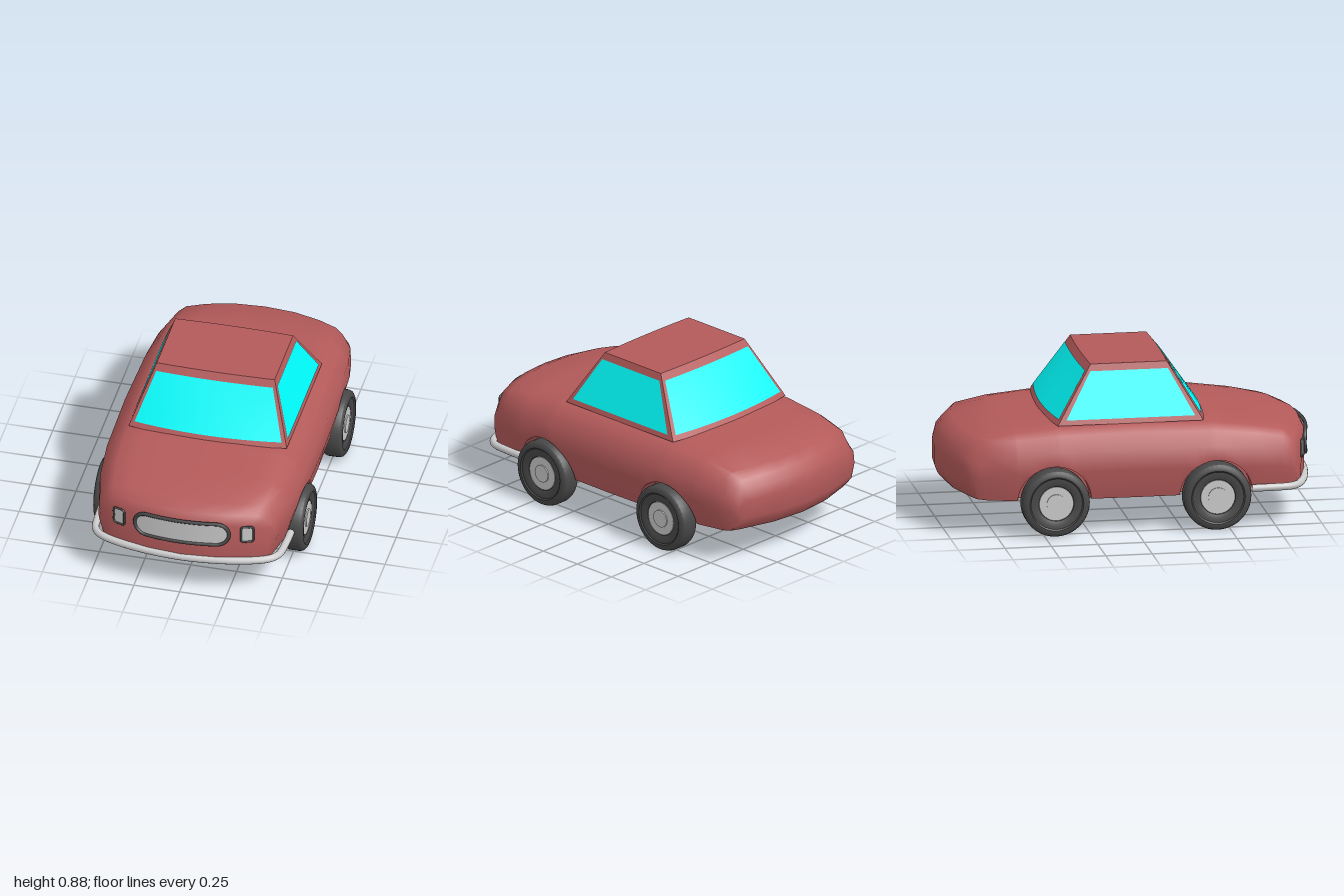
import * as THREE from 'three';
import { toCreasedNormals } from 'three/addons/utils/BufferGeometryUtils.js';

const mat = (color, side = THREE.FrontSide) => new THREE.MeshStandardMaterial({ color, side });
const paint = mat(0xb45a5a), paintSheet = mat(0xb45a5a, THREE.DoubleSide);
const glass = mat(0x00ffff, THREE.DoubleSide);
const rubber = mat(0x484848), metal = mat(0xcccccc), metalSheet = mat(0xcccccc, THREE.DoubleSide);
const lerp = THREE.MathUtils.lerp;
const WHEEL_Z = [0.43, -0.44], WHEEL_Y = 0.183, ARCH_R = 0.197;

function mesh(name, geometry, material) {
  const m = new THREE.Mesh(geometry, material);
  m.name = name;
  return m;
}

function indexed(positions, index) {
  const g = new THREE.BufferGeometry();
  g.setAttribute('position', new THREE.Float32BufferAttribute(positions, 3));
  g.setIndex(index);
  g.computeVertexNormals();
  return g;
}

// Sheet from a rule (u, v in 0..1) -> [x, y, z]
function sheet(rule, nu, nv = 1) {
  const pos = [], idx = [];
  for (let j = 0; j <= nv; j++) for (let i = 0; i <= nu; i++) pos.push(...rule(i / nu, j / nv));
  for (let j = 0; j < nv; j++) for (let i = 0; i < nu; i++) {
    const a = j * (nu + 1) + i, d = a + nu + 1;
    idx.push(a, a + 1, d + 1, a, d + 1, d);
  }
  return indexed(pos, idx);
}

// Body stations: z, floor, top, half width, half width of the top
const STATIONS = [
  [-1.0, 0.28, 0.39, 0.45, 0.36], [-0.985, 0.24, 0.45, 0.47, 0.38], [-0.95, 0.2, 0.49, 0.485, 0.39],
  [-0.9, 0.195, 0.53, 0.5, 0.41], [-0.65, 0.19, 0.56, 0.525, 0.43], [-0.43, 0.19, 0.58, 0.54, 0.435],
  [0, 0.19, 0.59, 0.55, 0.435], [0.42, 0.19, 0.58, 0.545, 0.435], [0.65, 0.19, 0.55, 0.525, 0.43],
  [0.88, 0.19, 0.52, 0.495, 0.41], [0.95, 0.19, 0.49, 0.485, 0.39], [0.975, 0.2, 0.44, 0.47, 0.37],
];

function stationAt(z) {
  let k = 0;
  while (k < STATIONS.length - 2 && STATIONS[k + 1][0] < z) k++;
  const a = STATIONS[k], b = STATIONS[k + 1], t = (z - a[0]) / (b[0] - a[0]);
  return a.map((v, i) => lerp(v, b[i], t));
}

// The nose and tail bow outwards in plan
const bow = (x, z) =>
  z - Math.sign(z) * 0.5 * x * x * THREE.MathUtils.smoothstep(Math.abs(z), 0.65, 0.95);

// Right half of a cross-section from floor centre to top centre, with the wheel arch notch
function halfSection(z) {
  const [, f, t, w, tw] = stationAt(z);
  let arch = f;
  for (const wz of WHEEL_Z) {
    const h = ARCH_R ** 2 - (z - wz) ** 2;
    if (h > 0) arch = Math.max(arch, WHEEL_Y + Math.sqrt(h));
  }
  const h = t - f, inner = w * 0.81;
  const sideY = Math.max(f + 0.4 * h, arch + 0.01);
  const sill = Math.min(w, lerp(w * 0.93, w, (arch - f) / (0.4 * h)));
  return [
    [0, f], [inner * 0.5, f], [inner, f], [inner, arch], [sill, arch], [w, sideY],
    [w * 0.99, f + 0.68 * h], [lerp(w, tw, 0.55), t - 0.13 * h], [tw, t - 0.015],
    [tw * 0.75, t - 0.005], [tw * 0.4, t], [0, t],
  ];
}

function bodyGeometry() {
  const zs = STATIONS.map((s) => s[0]);
  for (const wz of WHEEL_Z) for (let i = 0; i <= 16; i++) zs.push(wz - ARCH_R * Math.cos((i * Math.PI) / 16));
  zs.sort((a, b) => a - b);
  const pos = [], idx = [], N = 12, M = 2 * N - 2;
  for (const z of zs) {
    const half = halfSection(z);
    const ring = [...half, ...half.slice(1, -1).reverse().map(([x, y]) => [-x, y])];
    for (const [x, y] of ring) pos.push(x, y, bow(x, z));
  }
  const quad = (a, b, c, d) => idx.push(a, b, c, a, c, d);
  for (let k = 0; k < zs.length - 1; k++) for (let i = 0; i < M; i++) {
    const j = (i + 1) % M;
    quad(k * M + i, k * M + j, (k + 1) * M + j, (k + 1) * M + i);
  }
  // Nose and tail panels, zipped from floor to top
  const last = (zs.length - 1) * M;
  for (let i = 0; i < N / 2 - 1; i++) {
    const r = [i, i + 1, N - 2 - i, N - 1 - i], l = r.map((n) => (M - n) % M);
    quad(...r.map((n) => last + n));
    quad(...l.reverse().map((n) => last + n));
    quad(...[...r].reverse());
    quad(...l.reverse());
  }
  return toCreasedNormals(indexed(pos, idx), 0.75);
}

// Cabin: s runs across a wall (-1..1), t runs from waist to roof (0..1)
const cabinX = (t) => lerp(0.432, 0.322, t);
const cabinY = (t) => lerp(0.575, 0.88, t);
const cornerZ = (t, front) => (front ? lerp(0.375, 0.195, t) : lerp(-0.41, -0.215, t));
const endWall = (front, s, t, lift) => {
  const bulge = (1 - s * s) * lerp(0.04, 0.008, t) + lift;
  return [s * cabinX(t), cabinY(t) + lift * 0.6, cornerZ(t, front) + (front ? bulge : -bulge)];
};
const sideWall = (side, s, t, lift) => [
  side * (cabinX(t) + lift), cabinY(t) + lift * 0.4,
  lerp(cornerZ(t, false), cornerZ(t, true), (s + 1) / 2),
];

function cabin() {
  const g = new THREE.Group();
  g.name = 'cabin';
  const wall = (name, fn, which, margin) => {
    g.add(mesh(name + 'Frame', sheet((u, v) => fn(which, u * 2 - 1, v, 0), 12, 4), paintSheet));
    g.add(mesh(name + 'Window', sheet((u, v) =>
      fn(which, (u * 2 - 1) * margin, lerp(0.085, 0.88, v), 0.004), 12, 4), glass));
  };
  wall('front', endWall, true, 0.95);
  wall('rear', endWall, false, 0.95);
  wall('left', sideWall, 1, 0.92);
  wall('right', sideWall, -1, 0.92);
  g.add(mesh('roof', sheet((u, v) => {
    const s = u * 2 - 1, a = endWall(true, s, 1, 0), b = endWall(false, s, 1, 0);
    return [a[0], 0.88, lerp(a[2], b[2], v)];
  }, 12), paintSheet));
  return g;
}

// Rounded panel with a dark rim, following the bowed nose
function nosePanel(name, cx, cy, hw, hh, r, rim) {
  const g = new THREE.Group();
  g.name = name;
  const noseZ = (x) => bow(x, 0.975) + 0.008;
  const halfHeight = (x) => {
    const d = Math.max(0, Math.abs(x) - (hw - r));
    return hh - r + Math.sqrt(Math.max(0, r * r - d * d));
  };
  g.add(mesh(name + 'Face', sheet((u, v) => {
    const x = -hw * Math.cos(u * Math.PI);
    return [cx + x, cy + (v * 2 - 1) * halfHeight(x), noseZ(cx + x)];
  }, 32, 2), metalSheet));
  const pts = [];
  for (let i = 0; i < 48; i++) {
    const a = (i / 48) * Math.PI * 2, x = hw * Math.cos(a);
    pts.push(new THREE.Vector3(cx + x, cy + Math.sign(Math.round(Math.sin(a) * 1e6)) * halfHeight(x), noseZ(cx + x)));
  }
  const path = new THREE.CatmullRomCurve3(pts, true);
  g.add(mesh(name + 'Rim', new THREE.TubeGeometry(path, 96, rim, 8, true), rubber));
  return g;
}

function wheel(x, z) {
  const g = new THREE.Group();
  g.name = 'wheel';
  const outer = [[0.182, 0.03], [0.176, 0.046], [0.162, 0.056], [0.145, 0.057], [0.138, 0.051], [0.115, 0.051], [0.095, 0.043], [0.088, 0.025]];
  const profile = [...outer.map(([r, a]) => [r, -a]).reverse(), ...outer].map((p) => new THREE.Vector2(...p));
  g.add(mesh('tyre', toCreasedNormals(new THREE.LatheGeometry(profile, 40), 0.6), rubber));
  g.add(mesh('hub', new THREE.CylinderGeometry(0.092, 0.092, 0.084, 32), metal));
  g.add(mesh('hubCap', new THREE.CylinderGeometry(0.048, 0.052, 0.098, 32), metal));
  g.rotation.z = -Math.PI / 2;
  g.position.set(x, WHEEL_Y, z);
  return g;
}

export function createModel() {
  const car = new THREE.Group();
  car.name = 'car';
  car.add(mesh('body', bodyGeometry(), paint), cabin());

  // Nose fittings
  car.add(nosePanel('grille', 0, 0.385, 0.257, 0.067, 0.067, 0.01));
  for (const s of [-1, 1]) car.add(nosePanel('headlight', s * 0.35, 0.383, 0.031, 0.047, 0.014, 0.006));

  // Wraparound front bumper
  const right = [[0.515, 0.62], [0.512, 0.74], [0.5, 0.83], [0.462, 0.878], [0.3, 0.938]];
  const pts = [...right.map(([x, z]) => [-x, z]), [0, 0.972], ...[...right].reverse()]
    .map(([x, z]) => new THREE.Vector3(x, 0.213, z));
  car.add(mesh('bumper', new THREE.TubeGeometry(new THREE.CatmullRomCurve3(pts), 64, 0.02, 12), metalSheet));

  for (const z of WHEEL_Z) for (const s of [-1, 1]) car.add(wheel(s * 0.516, z));
  return car;
}
